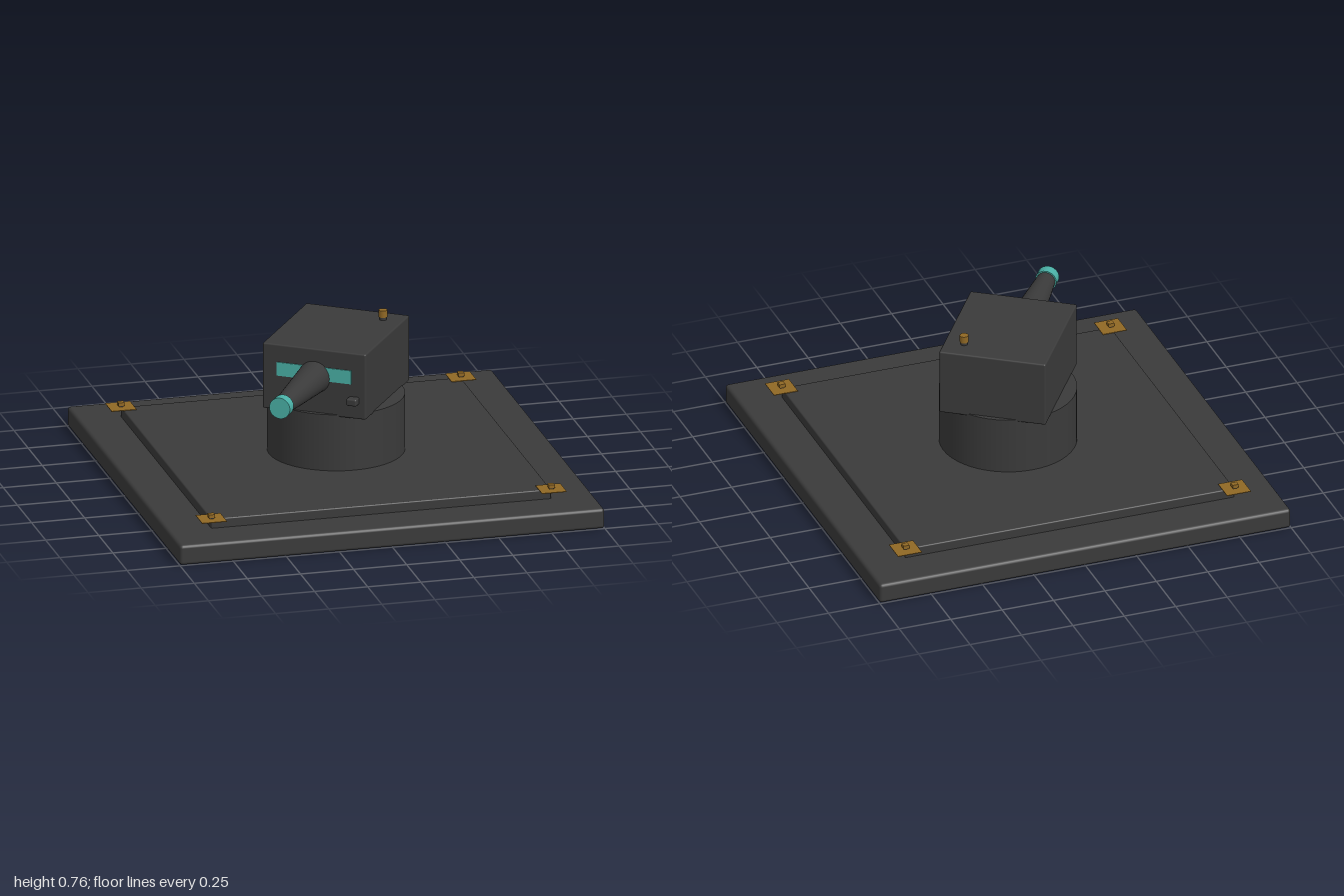
import * as THREE from 'three';
import { RoundedBoxGeometry } from 'three/addons/geometries/RoundedBoxGeometry.js';

const mat = (name, hex) => {
  const m = new THREE.MeshStandardMaterial({ color: hex });
  m.name = name;
  return m;
};

export function createModel() {
  const dark = mat('dark metal', 0x3a3a3a);
  const teal = mat('teal', 0x4ab0a6);
  const amber = mat('amber', 0x906824);
  const model = new THREE.Group();
  model.name = 'turret';

  const add = (parent, name, geometry, material, x, y, z) => {
    const mesh = new THREE.Mesh(geometry, material);
    mesh.name = name;
    mesh.position.set(x, y, z);
    parent.add(mesh);
    return mesh;
  };
  const box = (w, h, d) => new THREE.BoxGeometry(w, h, d);
  const cyl = (top, bottom, h, n = 32) => new THREE.CylinderGeometry(top, bottom, h, n);

  // Stepped square base and round pedestal
  add(model, 'base', new RoundedBoxGeometry(2, 0.095, 2, 2, 0.015), dark, 0, 0.0475, 0);
  add(model, 'deck', new RoundedBoxGeometry(1.6, 0.06, 1.6, 2, 0.006), dark, 0, 0.11, 0);
  add(model, 'pedestal', cyl(0.315, 0.315, 0.28, 48), dark, 0, 0.27, 0);

  // Corner markers: thin plate, neck and lamp
  for (const x of [-0.8, 0.8]) for (const z of [-0.8, 0.8]) {
    const corner = new THREE.Group();
    corner.name = 'cornerMarker';
    corner.position.set(x, 0, z);
    model.add(corner);
    add(corner, 'markerPlate', box(0.116, 0.003, 0.116), amber, 0, 0.1425, 0);
    add(corner, 'markerNeck', box(0.02, 0.012, 0.02), dark, 0, 0.148, 0);
    add(corner, 'markerLamp', box(0.028, 0.016, 0.028), amber, 0, 0.157, 0);
  }

  // Turned head; its local +z is the firing direction
  const head = new THREE.Group();
  head.name = 'head';
  head.rotation.y = -0.608;
  model.add(head);
  add(head, 'housing', new RoundedBoxGeometry(0.5, 0.315, 0.585, 2, 0.008), dark, 0, 0.5575, 0);
  add(head, 'frontStripe', box(0.36, 0.065, 0.006), teal, 0, 0.598, 0.294);
  add(head, 'sensor', new RoundedBoxGeometry(0.05, 0.034, 0.06, 2, 0.008), dark, 0.193, 0.489, 0.302);

  // Tapered barrel with muzzle ring
  add(head, 'barrel', cyl(0.043, 0.077, 0.43), dark, 0, 0.578, 0.495).rotation.x = Math.PI / 2;
  add(head, 'muzzle', cyl(0.05, 0.05, 0.05, 24), teal, 0, 0.578, 0.727).rotation.x = Math.PI / 2;

  // Roof beacon
  add(model, 'beaconCollar', cyl(0.016, 0.016, 0.02, 16), dark, 0.24, 0.72, -0.07);
  add(model, 'beacon', cyl(0.02, 0.02, 0.033, 16), amber, 0.24, 0.745, -0.07);

  return model;
}
